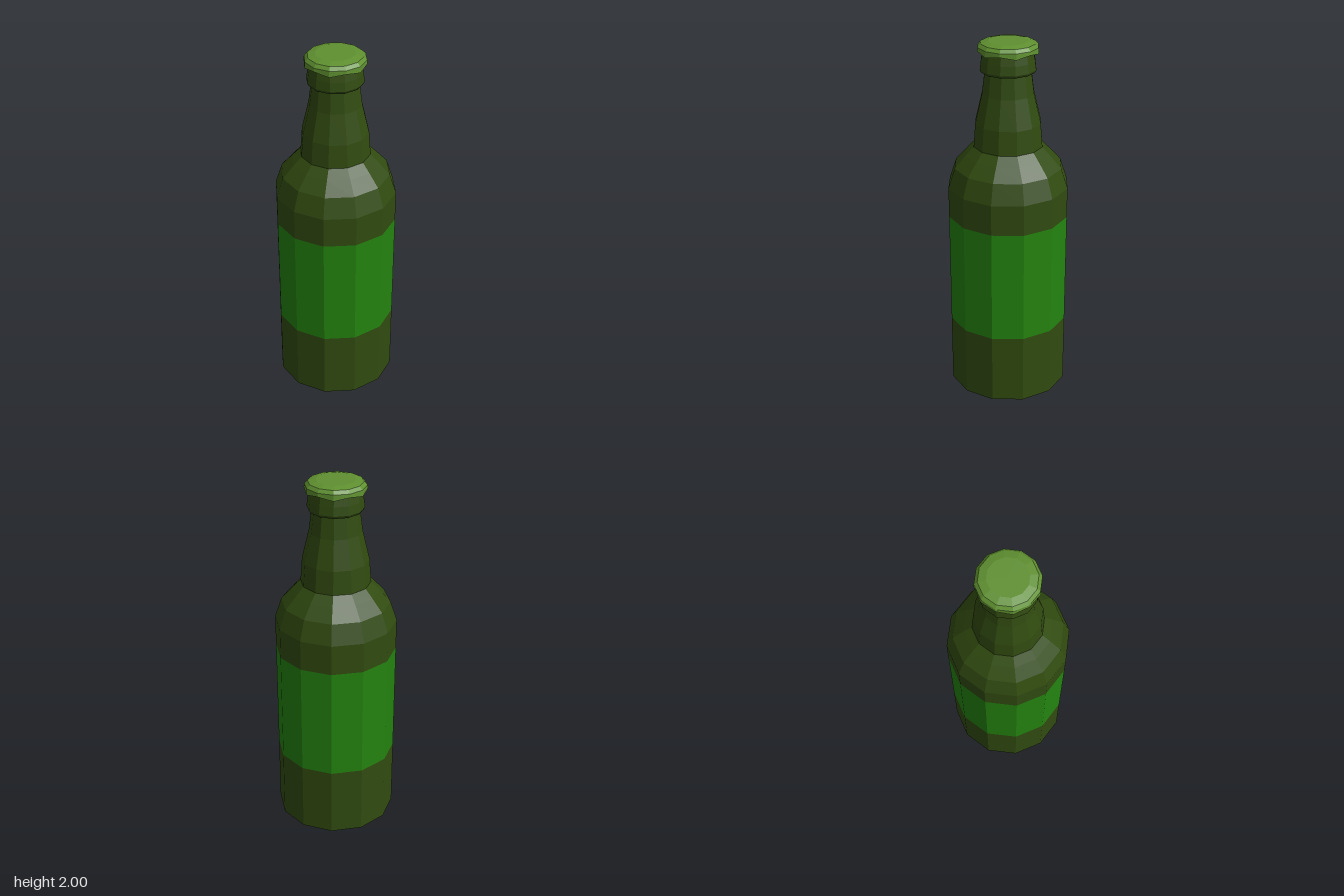
import * as THREE from 'three';

const SIDES = 12;

function flatMaterial(name, color) {
  const material = new THREE.MeshStandardMaterial({ color, flatShading: true });
  material.name = name;
  return material;
}

// Turned part from [radius, height] pairs, listed bottom to top
function turned(name, profile, material) {
  const points = profile.map(([r, y]) => new THREE.Vector2(r, y));
  const mesh = new THREE.Mesh(new THREE.LatheGeometry(points, SIDES), material);
  mesh.name = name;
  return mesh;
}

export function createModel() {
  const glass = flatMaterial('dark green glass', 0x314b10);
  const paper = flatMaterial('green label', 0x24830f);
  const metal = flatMaterial('light green cap', 0x5f9030);

  const bottle = new THREE.Group();
  bottle.name = 'bottle';

  // Body below the label, with a closed base
  bottle.add(turned('base', [[0, 0], [0.333, 0], [0.333, 0.4]], glass));

  // Label band, flush with the glass
  bottle.add(turned('label', [[0.333, 0.4], [0.333, 1.035]], paper));

  // Shoulder and tapering neck
  bottle.add(turned('shoulderAndNeck', [
    [0.333, 1.035], [0.333, 1.205], [0.296, 1.315], [0.235, 1.383],
    [0.19, 1.43], [0.18, 1.56], [0.142, 1.72], [0.126, 1.845],
  ], glass));

  // Thick lip around the mouth
  bottle.add(turned('lip', [
    [0.12, 1.838], [0.144, 1.838], [0.152, 1.852], [0.146, 1.9], [0.136, 1.95], [0.13, 1.965],
  ], glass));

  // Crown cap with a crimped lower edge
  const cap = turned('cap', [
    [0.132, 1.95], [0.165, 1.946], [0.163, 1.972], [0.146, 1.99], [0.105, 2], [0, 2],
  ], metal);
  const position = cap.geometry.attributes.position;
  for (let i = 0; i < position.count; i++) {
    if (position.getY(i) > 1.96) continue;
    const angle = Math.atan2(position.getX(i), position.getZ(i));
    position.setY(i, position.getY(i) + 0.007 * Math.cos(angle * SIDES / 2));
  }
  cap.geometry.computeVertexNormals();
  bottle.add(cap);

  return bottle;
}
